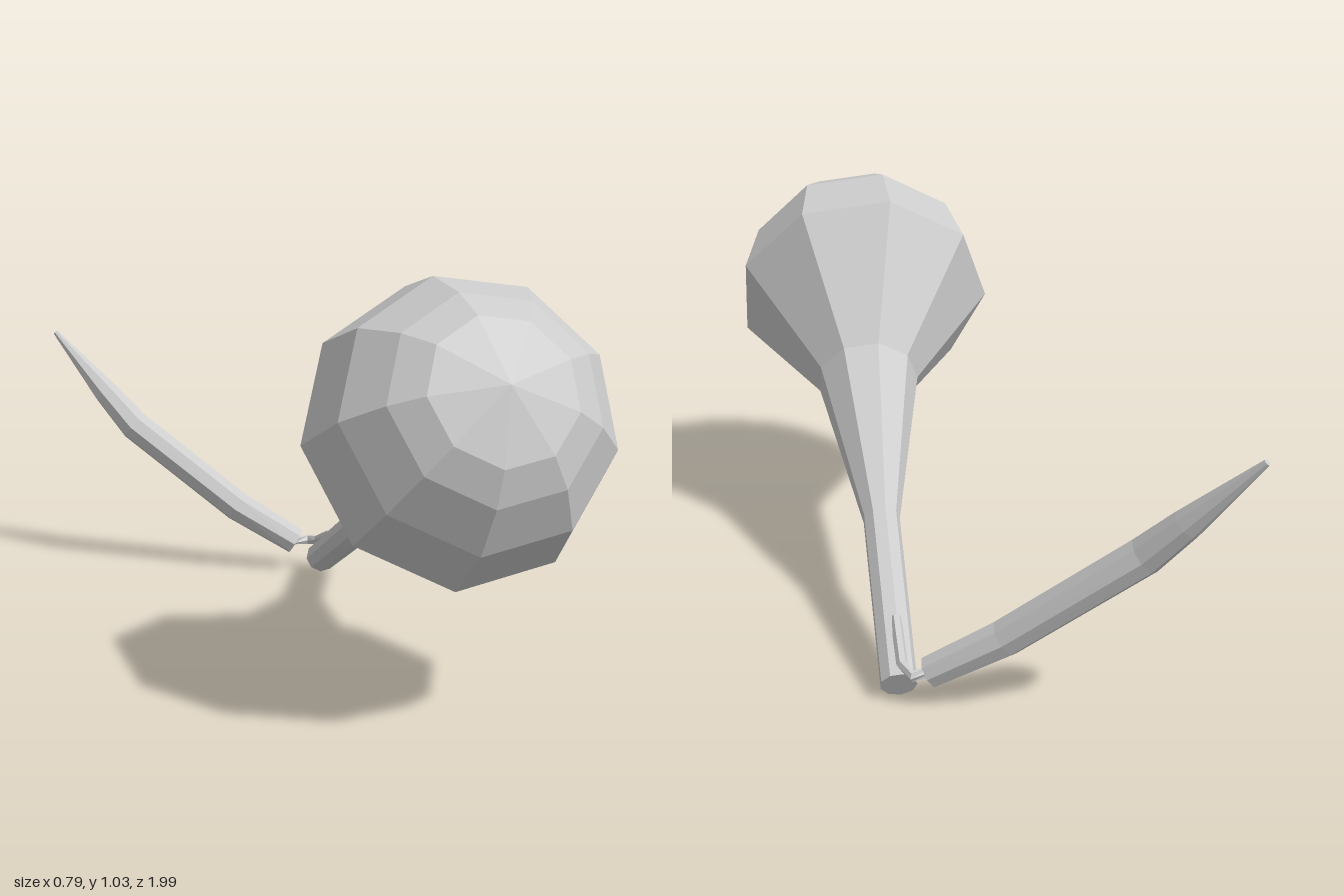
import * as THREE from 'three';

const V = (x, y, z) => new THREE.Vector3(x, y, z);

// Flat-shaded skin over polygon rings; each ring is { c: centre, n: direction, r: radius }.
// A zero radius at either end closes the skin to a point.
function loft(name, rings, sides, turn = 0) {
  const points = [], index = [];
  for (const { c, n, r } of rings) {
    const u = V(1, 0, 0).addScaledVector(n, -n.x).normalize();
    const v = n.clone().cross(u);
    for (let j = 0; j < sides; j++) {
      const a = turn + (j / sides) * Math.PI * 2;
      const p = c.clone().addScaledVector(u, r * Math.cos(a)).addScaledVector(v, r * Math.sin(a));
      points.push(p.x, p.y, p.z);
    }
  }
  for (let i = 0; i < rings.length - 1; i++) {
    for (let j = 0; j < sides; j++) {
      const k = (j + 1) % sides;
      const a = i * sides + j, b = i * sides + k, c = a + sides, d = b + sides;
      if (rings[i].r > 0) index.push(a, b, d);
      if (rings[i + 1].r > 0) index.push(a, d, c);
    }
  }
  const geometry = new THREE.BufferGeometry();
  geometry.setAttribute('position', new THREE.Float32BufferAttribute(points, 3));
  geometry.setIndex(index);
  const flat = geometry.toNonIndexed();
  flat.computeVertexNormals();
  const mesh = new THREE.Mesh(flat, new THREE.MeshStandardMaterial({ color: 0xcccccc, flatShading: true }));
  mesh.name = name;
  return mesh;
}

// Rings along a bent path of [x, y, z, radius], each facing along the path, with closed ends.
function pathRings(path) {
  const c = path.map(([x, y, z]) => V(x, y, z));
  const last = c.length - 1;
  const rings = path.map((p, i) => ({
    c: c[i],
    n: c[Math.min(i + 1, last)].clone().sub(c[Math.max(i - 1, 0)]).normalize(),
    r: p[3],
  }));
  return [{ ...rings[0], r: 0 }, ...rings, { ...rings[last], r: 0 }];
}

export function createModel() {
  const group = new THREE.Group();
  group.name = 'flail';

  // Club: slim handle flaring into a faceted round head
  const axis = V(-0.17, 0.47, 0.87).normalize();
  const headCentre = V(0.047, 0.68, 0.625);
  const headRadius = 0.362;
  const ring = (c, r) => ({ c, n: axis, r });
  const end = V(0.27, 0.045, -0.517);
  const club = [
    ring(end, 0),
    ring(end, 0.045),
    ring(V(0.19, 0.28, -0.08), 0.048),
    ring(V(0.11, 0.52, 0.345), 0.14),
  ];
  for (const t of [0, 0.17, 0.27, 0.32, headRadius]) {
    const r = Math.sqrt(headRadius ** 2 - t ** 2);
    club.push(ring(headCentre.clone().addScaledVector(axis, t), r));
  }
  group.add(loft('club', club, 9, THREE.MathUtils.degToRad(-24)));

  // Bent tail, tapering to a point
  group.add(loft('tail', pathRings([
    [0.205, 0.092, -0.56, 0.04],
    [0.05, 0.2, -0.645, 0.046],
    [-0.215, 0.445, -0.81, 0.046],
    [-0.28, 0.54, -0.875, 0.037],
    [-0.395, 0.715, -0.995, 0.008],
  ]), 8));

  // Thin strap joining the handle to the tail
  group.add(loft('strap', pathRings([
    [0.24, 0.155, -0.39, 0.014],
    [0.262, 0.1, -0.52, 0.014],
    [0.25, 0.09, -0.565, 0.014],
    [0.2, 0.095, -0.565, 0.014],
  ]), 6));

  return group;
}
